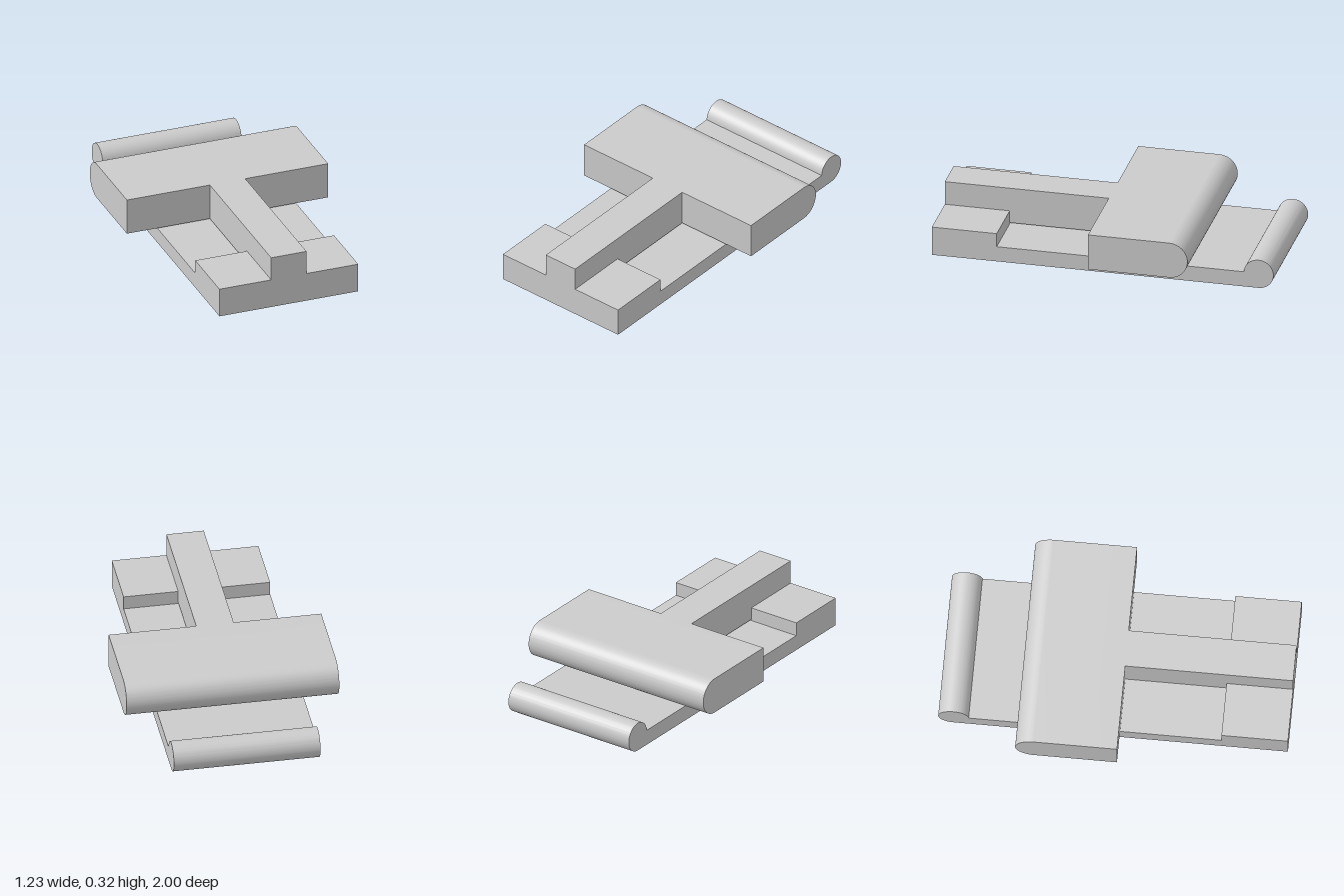
import * as THREE from 'three';
import { toCreasedNormals } from 'three/addons/utils/BufferGeometryUtils.js';

// Extrudes a side profile, drawn as (-z, y), across a width centred on x = 0
function slab(name, shape, width) {
  const geometry = new THREE.ExtrudeGeometry(shape, {
    depth: width, bevelEnabled: false, curveSegments: 40,
  });
  geometry.translate(0, 0, -width / 2).rotateY(Math.PI / 2);
  const mesh = new THREE.Mesh(
    toCreasedNormals(geometry, 0.5),
    new THREE.MeshStandardMaterial({ color: 0xcccccc }),
  );
  mesh.name = name;
  return mesh;
}

export function createModel() {
  const group = new THREE.Group();
  group.name = 'slidingLatch';

  // Base: raised front block, thin plate and a round bead along the back edge
  const bead = 0.087, plateTop = 0.092, blockTop = 0.174, blockBack = -0.62;
  const beadEnd = Math.PI - Math.asin((plateTop - bead) / bead);
  const base = new THREE.Shape();
  base.moveTo(-1, 0);
  base.lineTo(1 - bead, 0);
  base.absarc(1 - bead, bead, bead, -Math.PI / 2, beadEnd, false);
  base.lineTo(blockBack, plateTop);
  base.lineTo(blockBack, blockTop);
  base.lineTo(-1, blockTop);
  base.closePath();
  group.add(slab('base', base, 0.848));

  // Stem: rests on the block, then hangs just above the plate
  const low = 0.1, high = 0.316, joint = -0.04;
  const stem = new THREE.Shape([
    [-1, blockTop], [blockBack, blockTop], [blockBack, low],
    [joint, low], [joint, high], [-1, high],
  ].map(([x, y]) => new THREE.Vector2(x, y)));
  group.add(slab('stem', stem, 0.216));

  // Head: wide crosspiece with a fully rounded back edge
  const r = (high - low) / 2;
  const head = new THREE.Shape();
  head.moveTo(joint, low);
  head.lineTo(0.542 - r, low);
  head.absarc(0.542 - r, low + r, r, -Math.PI / 2, Math.PI / 2, false);
  head.lineTo(joint, high);
  head.closePath();
  group.add(slab('head', head, 1.23));

  return group;
}
